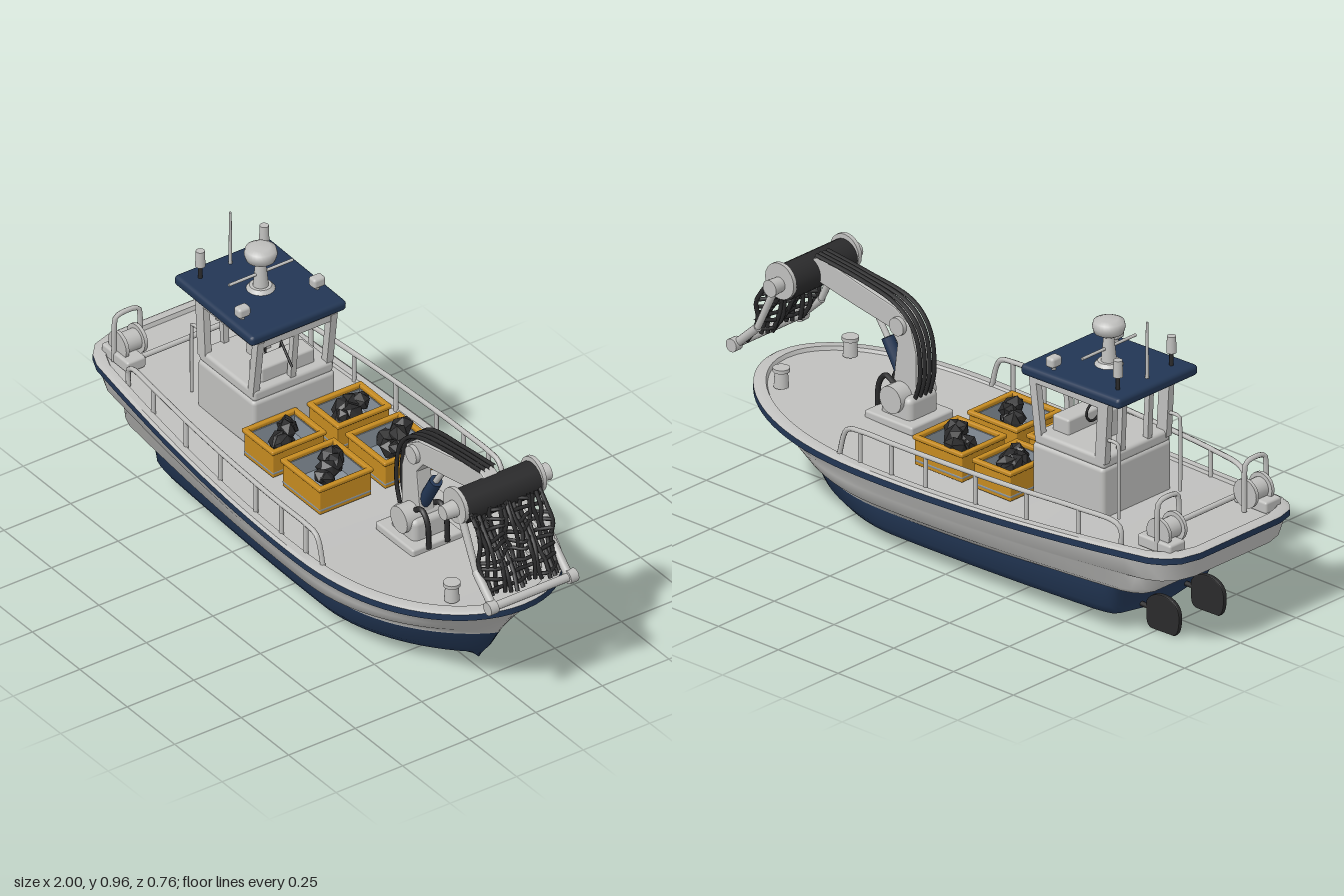
import * as THREE from 'three';
import { toCreasedNormals } from 'three/addons/utils/BufferGeometryUtils.js';
import { RoundedBoxGeometry } from 'three/addons/geometries/RoundedBoxGeometry.js';

const material = (name, color) => {
  const m = new THREE.MeshStandardMaterial({ color });
  m.name = name;
  return m;
};

export function createModel() {
  const boat = new THREE.Group();
  boat.name = 'workboat';
  const white = material('off white', 0xbfbfbd), navy = material('navy blue', 0x223654);
  const yellow = material('crate yellow', 0xc48a20), dark = material('charcoal', 0x2a2a2b);
  const slate = material('crate lining grey', 0x87919a);
  const V = (x, y, z) => new THREE.Vector3(x, y, z);

  // Small building helpers
  const add = (name, geo, mat, pos = [0, 0, 0]) => {
    const m = new THREE.Mesh(geo, mat);
    m.name = name;
    m.position.set(...pos);
    boat.add(m);
    return m;
  };
  const box = (name, mat, size, pos, r = 0.008) =>
    add(name, new RoundedBoxGeometry(...size, 2, Math.min(r, Math.min(...size) * 0.45)), mat, pos);
  const cyl = (name, mat, r1, r2, h, pos, alongZ = false) => {
    const g = new THREE.CylinderGeometry(r1, r2, h, 20);
    if (alongZ) g.rotateX(Math.PI / 2);
    return add(name, g, mat, pos);
  };
  const tube = (name, mat, pts, r, seg = 24) => add(name, new THREE.TubeGeometry(
    new THREE.CatmullRomCurve3(pts.map(p => V(...p)), false, 'catmullrom', 0.5), seg, r, 7), mat);
  const aim = (mesh, a, b) => {
    mesh.position.copy(a).add(b).multiplyScalar(0.5);
    mesh.quaternion.setFromUnitVectors(V(0, 1, 0), b.clone().sub(a).normalize());
    return mesh;
  };
  const rod = (name, mat, a, b, r, r2 = r) => {
    const p = V(...a), q = V(...b);
    return aim(add(name, new THREE.CylinderGeometry(r2, r, p.distanceTo(q), 12), mat), p, q);
  };
  const beam = (name, mat, a, b, w, d) => {
    const p = V(...a), q = V(...b);
    return aim(add(name, new THREE.BoxGeometry(w, p.distanceTo(q), d), mat), p, q);
  };

  // Hull rows from keel to deck centre: x ends, half beam, stern share, bow fullness, heights, corner roundness
  const row = (x0, x1, w, a, p, q, ys, ym, yb, k = 1) => ({ x0, x1, w, a, p, q, ys, ym, yb, k });
  const keel = row(-0.68, 0.7, 0, 1, 2, 1, 0.04, 0.01, 0.045);
  const chineLow = row(-0.68, 0.72, 0.24, 0.92, 1.9, 0.85, 0.07, 0.06, 0.075, 0.25);
  const chineTop = row(-0.685, 0.75, 0.262, 0.92, 1.9, 0.8, 0.1, 0.09, 0.11, 0.25);
  const waterline = row(-0.7, 0.8, 0.268, 0.93, 2, 0.8, 0.185, 0.148, 0.19, 0.3);
  const stepIn = row(-0.83, 0.806, 0.28, 0.92, 2, 0.77, 0.193, 0.163, 0.2, 0.5);
  const stepOut = row(-0.84, 0.822, 0.322, 0.85, 2, 0.7, 0.21, 0.19, 0.225, 0.8);
  const ledgeIn = row(-0.86, 0.85, 0.337, 0.8, 2.1, 0.62, 0.262, 0.235, 0.265);
  const ledgeOut = row(-0.965, 0.86, 0.341, 0.79, 2.1, 0.6, 0.275, 0.245, 0.275);
  const railLow = row(-0.985, 0.92, 0.366, 0.77, 2.3, 0.5, 0.345, 0.297, 0.345);
  const railOut = row(-1, 0.94, 0.38, 0.76, 2.3, 0.5, 0.347, 0.3, 0.35);
  const railTop = row(-1, 0.94, 0.38, 0.76, 2.3, 0.5, 0.368, 0.322, 0.372);
  const railIn = row(-0.99, 0.93, 0.37, 0.76, 2.3, 0.5, 0.374, 0.329, 0.378);
  const lipIn = row(-0.965, 0.9, 0.345, 0.76, 2.3, 0.5, 0.374, 0.329, 0.378);
  const deckEdge = row(-0.96, 0.895, 0.34, 0.76, 2.3, 0.5, 0.36, 0.322, 0.365);
  const deckMid = { ...deckEdge, w: 0 };

  const stations = [[0, 0], [0, 0.35], [0, 0.62], [0.01, 0.84], [0.03, 0.95], [0.055, 1]];
  for (let i = 1; i <= 36; i++) stations.push([0.055 + 0.945 * (1 - (1 - i / 36) ** 1.7), 1]);
  const hullPoint = (r, [u, m], side) => {
    const t = Math.max(0, (u - 0.65) / 0.35);
    const f = t > 0 ? Math.max(0, 1 - t ** r.p) ** r.q : r.a + (1 - r.a) * Math.sin(Math.PI / 2 * u / 0.65);
    const y = u < 0.6 ? r.ym + (r.ys - r.ym) * (1 - u / 0.6) ** 2 : r.ym + (r.yb - r.ym) * ((u - 0.6) / 0.4) ** 2;
    return [r.x0 + (r.x1 - r.x0) * u, y, side * r.w * f * m ** r.k];
  };
  const loft = (name, mat, rows, crease = 0.6) => {
    const pos = [];
    for (const side of [1, -1]) for (let r = 0; r + 1 < rows.length; r++)
      for (let j = 0; j + 1 < stations.length; j++) {
        const [a, b, c, d] = [[r, j], [r, j + 1], [r + 1, j + 1], [r + 1, j]]
          .map(([k, s]) => hullPoint(rows[k], stations[s], side));
        pos.push(...(side > 0 ? [a, b, c, a, c, d] : [a, c, b, a, d, c]).flat());
      }
    const g = new THREE.BufferGeometry();
    g.setAttribute('position', new THREE.Float32BufferAttribute(pos, 3));
    add(name, toCreasedNormals(g, crease), mat);
  };
  loft('hullBottom', navy, [keel, chineLow, chineTop, waterline], 0.9);
  loft('hullTopsides', white, [waterline, stepIn, stepOut, ledgeIn, ledgeOut, railLow], 0.9);
  loft('rubbingRail', navy, [railLow, railOut, railTop]);
  loft('deck', white, [railTop, railIn, lipIn, deckEdge, deckMid]);

  // Twin drives below the stern
  for (const z of [-0.1, 0.1]) {
    const s = new THREE.Shape();
    s.moveTo(-0.82, 0.01); s.lineTo(-0.73, 0.008); s.quadraticCurveTo(-0.71, 0.01, -0.71, 0.04);
    s.lineTo(-0.71, 0.09); s.quadraticCurveTo(-0.73, 0.125, -0.78, 0.125);
    s.quadraticCurveTo(-0.84, 0.12, -0.84, 0.07); s.quadraticCurveTo(-0.84, 0.02, -0.82, 0.01);
    add('rudder', new THREE.ExtrudeGeometry(s, { depth: 0.01, bevelSize: 0.004, bevelThickness: 0.003, bevelSegments: 2 }), dark, [0, 0, z - 0.005]);
    rod('rudderShaft', dark, [-0.75, 0.07, z], [-0.66, 0.07, z], 0.008);
  }

  // Wheelhouse: solid base, sill, open window frames and roof
  box('cabinBase', white, [0.3, 0.18, 0.31], [-0.42, 0.415, 0], 0.015);
  box('cabinSill', white, [0.295, 0.04, 0.3], [-0.422, 0.52, 0], 0.012);
  for (const z of [-0.138, 0.138]) {
    box('sideHeader', white, [0.325, 0.035, 0.024], [-0.42, 0.718, z], 0.006);
    beam('frontPillar', white, [-0.295, 0.52, z], [-0.268, 0.73, z], 0.028, 0.024);
    beam('rearPillar', white, [-0.552, 0.52, z], [-0.565, 0.73, z], 0.042, 0.024);
    tube('cabinHandrail', white, [[-0.57, 0.6, z], [-0.61, 0.6, z], [-0.62, 0.57, z], [-0.62, 0.35, z]], 0.006);
  }
  for (const x of [-0.27, -0.566]) box('endHeader', white, [0.024, 0.035, 0.29], [x, 0.718, 0], 0.006);
  beam('windscreenPost', white, [-0.29, 0.52, 0], [-0.268, 0.73, 0], 0.02, 0.02);
  for (const z of [-0.06, 0.06]) beam('rearDoorPost', white, [-0.555, 0.52, z], [-0.565, 0.73, z], 0.02, 0.02);
  rod('wiper', dark, [-0.27, 0.715, 0.06], [-0.2, 0.64, 0.06], 0.004);
  box('helmConsole', white, [0.07, 0.06, 0.2], [-0.34, 0.56, 0]);
  box('helmSeat', white, [0.03, 0.1, 0.08], [-0.46, 0.58, 0]);
  const wheel = add('steeringWheel', new THREE.TorusGeometry(0.03, 0.004, 6, 20), dark, [-0.385, 0.59, 0]);
  wheel.rotation.y = Math.PI / 2;
  box('roof', navy, [0.415, 0.036, 0.36], [-0.452, 0.753, 0], 0.014).rotation.z = -0.02;

  // Roof mast, radar, lamps and aerial
  cyl('mastFoot', white, 0.035, 0.045, 0.012, [-0.45, 0.778, 0]);
  cyl('mast', white, 0.016, 0.026, 0.1, [-0.45, 0.82, 0]);
  add('radarDome', new THREE.LatheGeometry([[0, 0.862], [0.025, 0.868], [0.046, 0.88], [0.052, 0.9],
    [0.048, 0.917], [0.03, 0.925], [0, 0.926]].map(p => new THREE.Vector2(...p)), 28), white, [-0.45, 0, 0]);
  rod('mastCrossbar', white, [-0.45, 0.828, -0.12], [-0.45, 0.828, 0.12], 0.005);
  for (const z of [-0.12, 0.12]) {
    rod('lampPost', dark, [-0.6, 0.77, z], [-0.6, 0.82, z], 0.007);
    cyl('navigationLamp', white, 0.014, 0.016, 0.055, [-0.6, 0.845, z]);
    rod('searchlightPost', white, [-0.35, 0.765, z * 1.17], [-0.35, 0.79, z * 1.17], 0.007);
    box('searchlight', white, [0.035, 0.035, 0.045], [-0.35, 0.797, z * 1.17], 0.01);
  }
  rod('whipAerial', white, [-0.61, 0.77, 0], [-0.61, 0.962, 0], 0.006, 0.004);

  // Cargo crates, lined and filled with rough lumps
  let seed = 7;
  const rnd = () => (seed = (seed * 16807) % 2147483647) / 2147483647;
  for (const [cx, w] of [[-0.19, 0.165], [0.035, 0.21]]) for (const [cz, d] of [[-0.148, 0.205], [0.097, 0.205]]) {
    box('crateFloor', slate, [w - 0.01, 0.012, d - 0.01], [cx, 0.345, cz]);
    for (const s of [-1, 1]) {
      box('crateEnd', yellow, [0.01, 0.09, d - 0.012], [cx + s * (w / 2 - 0.011), 0.375, cz], 0.003);
      box('crateSide', yellow, [w - 0.012, 0.09, 0.01], [cx, 0.375, cz + s * (d / 2 - 0.011)], 0.003);
      box('crateEndLining', slate, [0.004, 0.07, d - 0.03], [cx + s * (w / 2 - 0.018), 0.38, cz], 0.001);
      box('crateSideLining', slate, [w - 0.03, 0.07, 0.004], [cx, 0.38, cz + s * (d / 2 - 0.018)], 0.001);
      box('crateRimEnd', yellow, [0.018, 0.015, d], [cx + s * (w / 2 - 0.009), 0.422, cz], 0.005);
      box('crateRimSide', yellow, [w, 0.015, 0.018], [cx, 0.422, cz + s * (d / 2 - 0.009)], 0.005);
    }
    for (let i = 0; i < 7; i++) {
      const k = (i - 3) / 3;
      const lump = add('cargoLump', new THREE.IcosahedronGeometry(0.03 + rnd() * 0.012, 0), dark,
        [cx + k * w * 0.24 + (rnd() - 0.5) * 0.03, 0.395 + rnd() * 0.035, cz + k * d * 0.24 + (rnd() - 0.5) * 0.05]);
      lump.rotation.set(rnd() * 6, rnd() * 6, rnd() * 6);
      lump.scale.set(1.1, 0.75, 0.9);
    }
  }

  for (const s of [-1, 1]) {
    // Side railings following the deck edge
    const edge = x => s * (0.343 - 0.065 * (0.25 - x) ** 2);
    const xs = [-0.6, -0.4, -0.2, 0, 0.14, 0.27];
    tube('sideRail', white, [[-0.76, 0.34, edge(-0.76)], [-0.745, 0.42, edge(-0.745)], ...xs.map(x => [x, 0.432, edge(x)]),
      [0.33, 0.415, edge(0.33)], [0.36, 0.32, edge(0.36)]], 0.0085, 70);
    for (const x of xs) rod('railPost', white, [x, 0.31, edge(x)], [x, 0.432, edge(x)], 0.0075);
    // Stern hoops, winches and bollards
    tube('sternHoop', white, [[-0.88, 0.36, s * 0.245], [-0.88, 0.5, s * 0.243],
      [-0.88, 0.525, s * 0.225], [-0.88, 0.525, s * 0.165], [-0.88, 0.5, s * 0.148], [-0.88, 0.36, s * 0.146]], 0.0085);
    box('winchBase', white, [0.14, 0.04, 0.07], [-0.87, 0.375, s * 0.215]);
    cyl('winchDrum', white, 0.034, 0.034, 0.08, [-0.875, 0.415, s * 0.195], true);
    for (const z of [0.16, 0.23]) cyl('winchFlange', white, 0.048, 0.048, 0.012, [-0.875, 0.415, s * z], true);
    cyl('bollard', white, 0.02, 0.024, 0.06, [0.775, 0.39, s * 0.155]);
    cyl('bollardCap', white, 0.027, 0.027, 0.012, [0.775, 0.418, s * 0.155]);
  }
  rod('sternCrossbar', white, [-0.82, 0.385, -0.22], [-0.82, 0.385, 0.22], 0.009);

  // Deck crane: pedestal, bent boom, ram and hoses
  box('craneBase', white, [0.2, 0.03, 0.19], [0.385, 0.338, 0]);
  box('craneHousing', white, [0.13, 0.09, 0.13], [0.385, 0.38, 0], 0.02);
  cyl('cranePivot', white, 0.045, 0.045, 0.16, [0.39, 0.41, 0], true);
  const boom = new THREE.Shape([[0.335, 0.38], [0.43, 0.38], [0.405, 0.58], [0.44, 0.625], [0.6, 0.655], [0.74, 0.685],
    [0.775, 0.69], [0.78, 0.735], [0.74, 0.757], [0.7, 0.755], [0.58, 0.725], [0.42, 0.69], [0.36, 0.65], [0.335, 0.56]]
    .map(p => new THREE.Vector2(...p)));
  add('craneBoom', new THREE.ExtrudeGeometry(boom, { depth: 0.045, bevelSize: 0.005, bevelThickness: 0.005, bevelSegments: 2 }), white, [0, 0, -0.0225]);
  cyl('elbowPin', white, 0.03, 0.03, 0.085, [0.4, 0.64, 0], true);
  rod('ramBarrel', navy, [0.405, 0.45, 0], [0.475, 0.57, 0], 0.021);
  rod('ramRod', white, [0.475, 0.57, 0], [0.53, 0.65, 0], 0.01);
  for (const z of [-0.032, -0.011, 0.011, 0.032])
    tube('boomHose', dark, [[0.335, 0.4, z], [0.31, 0.5, z], [0.328, 0.63, z], [0.41, 0.71, z], [0.58, 0.745, z * 0.8], [0.75, 0.766, z * 0.8]], 0.007, 40);
  for (const z of [-0.035, 0.035])
    tube('baseHose', dark, [[0.41, 0.44, z], [0.45, 0.46, z], [0.48, 0.42, z], [0.485, 0.34, z]], 0.009);

  // Net hauler: roller, side arms and foot bar
  cyl('netRoller', dark, 0.056, 0.056, 0.28, [0.785, 0.698, 0], true);
  for (const s of [-1, 1]) {
    cyl('rollerEnd', white, 0.06, 0.06, 0.014, [0.785, 0.71, s * 0.146], true);
    cyl('rollerMotor', white, 0.024, 0.028, 0.045, [0.785, 0.7, s * 0.175], true);
    rod('haulerArm', white, [0.79, 0.72, s * 0.143], [0.885, 0.52, s * 0.143], 0.013, 0.011);
    rod('haulerArmLower', white, [0.885, 0.52, s * 0.143], [0.975, 0.437, s * 0.143], 0.014);
    cyl('footBarEnd', white, 0.022, 0.022, 0.03, [0.976, 0.437, s * 0.15], true);
  }
  rod('footBar', white, [0.976, 0.437, -0.15], [0.976, 0.437, 0.15], 0.014);

  // Hanging net of wavering strands
  const netPoint = (t, z) => [0.835 + 0.115 * t + 0.016 * Math.sin(z * 50 + t * 6), 0.7 - 0.25 * t, z];
  for (let i = 0; i < 15; i++) {
    const z = -0.132 + i * 0.264 / 14;
    tube('netStrand', dark, [0, 0.2, 0.4, 0.6, 0.8, 1].map(t => netPoint(t, z + (rnd() - 0.5) * 0.014)), 0.0072, 20);
  }
  for (let k = 0; k < 9; k++)
    tube('netCrossStrand', dark, [-0.135, -0.08, -0.025, 0.025, 0.08, 0.135].map(z => netPoint(0.05 + k * 0.108 + (rnd() - 0.5) * 0.05, z)), 0.0065, 24);

  return boat;
}
